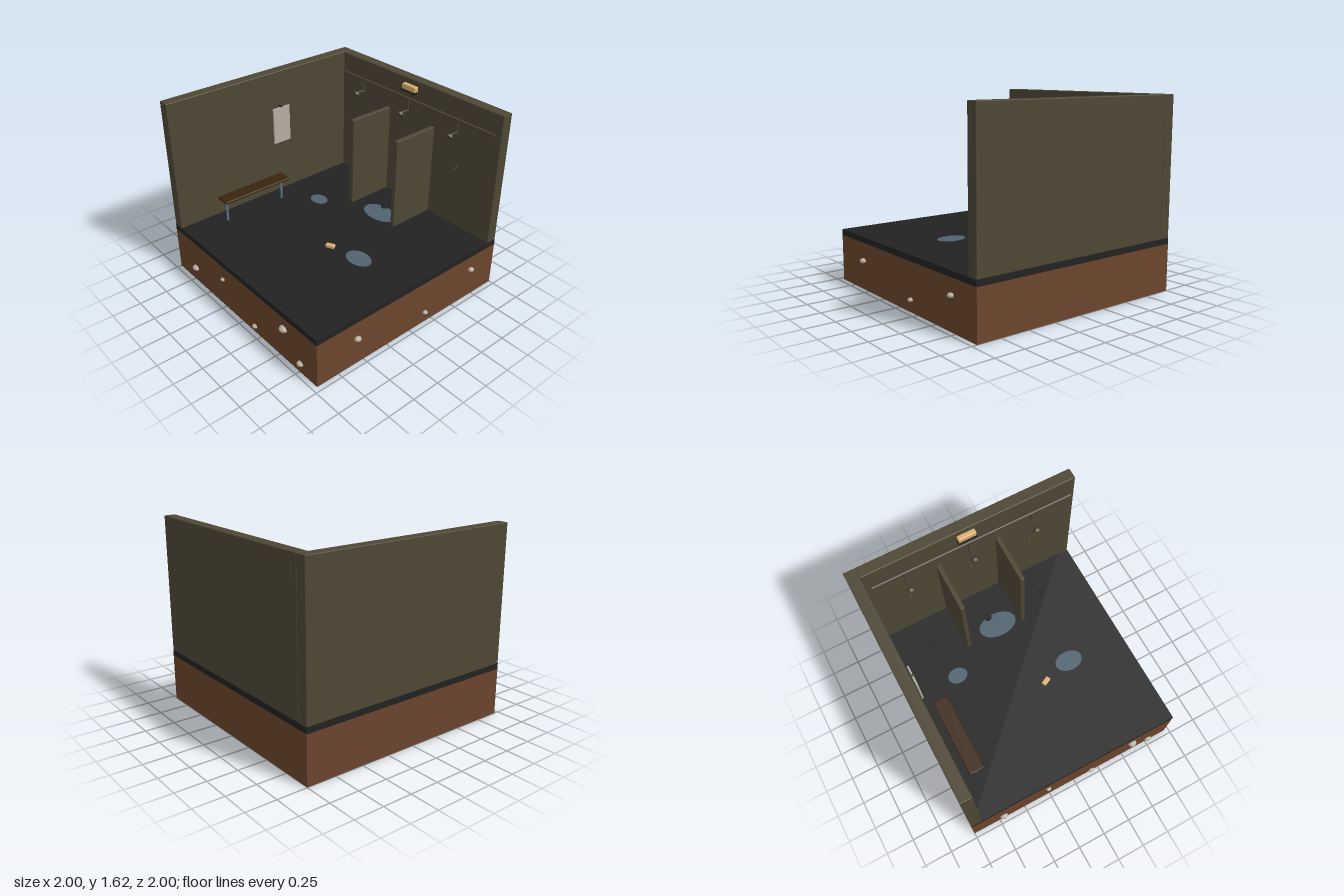
import * as THREE from 'three';
import { RoundedBoxGeometry } from 'three/addons/geometries/RoundedBoxGeometry.js';

const paint = (name, color) => {
  const m = new THREE.MeshStandardMaterial({ color });
  m.name = name;
  return m;
};

export function createModel() {
  const soil = paint('brown soil', 0x6b452d);
  const slab = paint('dark floor', 0x222222);
  const wall = paint('olive wall', 0x4e4735);
  const metal = paint('aged metal', 0x4a4235);
  const dark = paint('dark fitting', 0x28241c);
  const wood = paint('bench wood', 0x3a2410);
  const blue = paint('blue steel', 0x5c7e90);
  const water = paint('puddle blue', 0x50636e);
  const cream = paint('warm tan', 0xdcae6e);
  const pale = paint('pale grey', 0xb6aea1);

  const model = new THREE.Group();
  model.name = 'showerRoom';

  const add = (name, geometry, material, x = 0, y = 0, z = 0, parent = model) => {
    const mesh = new THREE.Mesh(geometry, material);
    mesh.name = name;
    mesh.position.set(x, y, z);
    parent.add(mesh);
    return mesh;
  };
  // Box given by its limits on each axis, with an optional rounded edge
  const block = (name, material, [x0, x1], [y0, y1], [z0, z1], r = 0) => {
    const size = [x1 - x0, y1 - y0, z1 - z0];
    const geometry = r ? new RoundedBoxGeometry(...size, 2, r) : new THREE.BoxGeometry(...size);
    return add(name, geometry, material, (x0 + x1) / 2, (y0 + y1) / 2, (z0 + z1) / 2);
  };

  // Ground block, floor slab and two walls
  const edge = 0.957;
  block('groundBlock', soil, [-1, edge], [0, 0.4], [-1, edge]);
  block('floorSlab', slab, [-1, edge], [0.4, 0.45], [-1, edge]);
  block('leftWall', wall, [-1, -0.903], [0.448, 1.622], [-1, edge], 0.006);
  block('backWall', wall, [-0.903, edge], [0.448, 1.622], [-1, -0.903], 0.006);

  // Stall dividers
  for (const x of [-0.29, 0.248]) {
    block('stallDivider', wall, [x - 0.019, x + 0.019], [0.448, 1.278], [-0.905, -0.466], 0.005);
  }

  // Overhead water pipe
  add('waterPipe', new THREE.CylinderGeometry(0.013, 0.013, 1.765, 16), metal, 0.028, 1.45, -0.875)
    .rotation.z = Math.PI / 2;

  // Shower sets: drop arm, tilted head, valve ring and floor drain
  for (const x of [-0.585, -0.02, 0.543]) {
    const shower = new THREE.Group();
    shower.name = 'shower';
    shower.position.x = x;
    model.add(shower);
    add('dropArm', new THREE.CylinderGeometry(0.009, 0.009, 0.105, 12), metal, 0, 1.395, -0.87, shower);
    add('forwardArm', new THREE.CylinderGeometry(0.009, 0.009, 0.09, 12), metal, 0, 1.346, -0.83, shower)
      .rotation.x = Math.PI / 2;
    const head = add('showerHead', new THREE.CylinderGeometry(0.024, 0.034, 0.022, 20), metal, 0, 1.342, -0.782, shower);
    head.rotation.x = -0.7;
    add('sprayPlate', new THREE.CylinderGeometry(0.03, 0.03, 0.004, 20), dark, 0, -0.012, 0, head);
    add('valveRing', new THREE.TorusGeometry(0.02, 0.006, 8, 20), metal, 0, 1.007, -0.896, shower);
    add('drain', new THREE.CylinderGeometry(0.035, 0.035, 0.008, 24), slab, 0, 0.454, -0.638, shower);
  }

  // Wall lamp on its dark bracket
  block('lampBracket', dark, [-0.107, 0.062], [1.512, 1.526], [-0.905, -0.855]);
  block('lamp', cream, [-0.1, 0.056], [1.526, 1.577], [-0.905, -0.86], 0.01);

  // Bench
  block('benchSeat', wood, [-0.825, -0.69], [0.655, 0.677], [-0.073, 0.615], 0.008);
  for (const z of [-0.02, 0.57]) {
    add('benchLeg', new THREE.CylinderGeometry(0.01, 0.01, 0.21, 12), blue, -0.76, 0.554, z);
  }

  // Towel and peg
  block('towel', pale, [-0.886, -0.873], [0.953, 1.292], [-0.23, -0.053]);
  add('towelPeg', new THREE.CylinderGeometry(0.008, 0.008, 0.04, 10), dark, -0.886, 1.3, -0.14)
    .rotation.z = Math.PI / 2;

  // Soap bar on the floor
  const soap = add('soap', new RoundedBoxGeometry(0.08, 0.032, 0.044, 2, 0.01), cream, 0.148, 0.467, 0.15);
  soap.rotation.y = 0.45;

  // Puddles: x, z, half width, half depth
  for (const [x, z, rx, rz] of [[0.027, -0.535, 0.174, 0.11], [-0.51, -0.268, 0.088, 0.069], [0.42, 0.075, 0.124, 0.088]]) {
    add('puddle', new THREE.CylinderGeometry(1, 1, 0.004, 32), water, x, 0.452, z).scale.set(rx, 1, rz);
  }

  // Stones in the front and right faces: position along the face, height, radius
  const stoneShape = new THREE.IcosahedronGeometry(1, 1);
  const stone = (x, y, z, r) => {
    add('stone', stoneShape, pale, x, y, z).scale.set(r, r * 0.72, r);
  };
  for (const [x, y, r] of [[-0.708, 0.142, 0.037], [-0.268, 0.272, 0.024], [0.174, 0.063, 0.027], [0.566, 0.3, 0.04], [0.763, 0.092, 0.032]]) {
    stone(x, y, edge, r);
  }
  for (const [z, y, r] of [[0.57, 0.25, 0.03], [-0.168, 0.102, 0.024], [-0.707, 0.274, 0.028]]) {
    stone(edge + r * 0.3, y, z, r);
  }

  return model;
}
